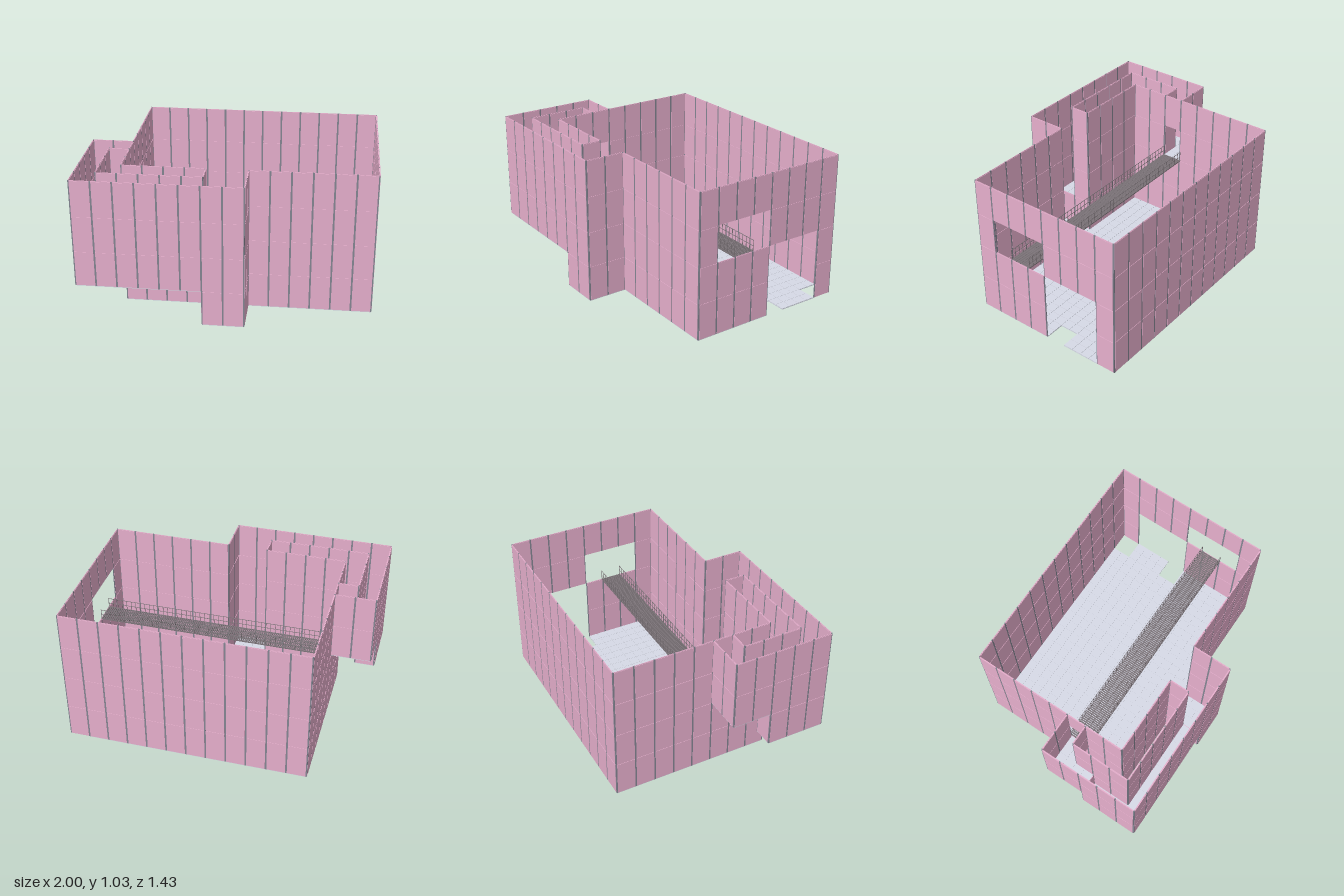
import * as THREE from 'three';
import { mergeGeometries } from 'three/addons/utils/BufferGeometryUtils.js';

// Modular grid: 14 x 10 cells in plan, four storeys high
const CX = 0.142, CZ = 0.1422, CY = 0.2555;
const gx = k => -0.996 + CX * k;
const gz = j => -0.711 + CZ * j;
const gy = l => 0.005 + CY * l;
const range = (a, b) => Array.from({ length: b - a + 1 }, (_, i) => a + i);

function box(w, h, d, x, y, z) {
  return new THREE.BoxGeometry(w, h, d).translate(x, y, z);
}

export function createModel() {
  const model = new THREE.Group();
  const mat = (name, color) => {
    const m = new THREE.MeshStandardMaterial({ color });
    m.name = name;
    return m;
  };
  const pink = mat('wall pink', 0xe9b1cf);
  const slate = mat('joint slate', 0x858794);
  const grey = mat('floor grey', 0xd8dbe8);
  const dark = mat('walkway grey', 0x7d757a);

  const add = (name, parts, material) => {
    const mesh = new THREE.Mesh(mergeGeometries(parts), material);
    mesh.name = name;
    model.add(mesh);
  };

  // Walls: pink panels on a thin pink core, with slate strips in the upright joints
  const GAP = 0.012;
  function wall(name, cells) {
    const panels = [], joints = [];
    for (const [axis, k, j, l] of cells) {
      const y = gy(l + 0.5);
      if (axis === 'z') {
        const x = gx(k + 0.5), z = gz(j);
        panels.push(box(CX - GAP, CY - 0.008, 0.009, x, y, z));
        panels.push(box(CX - GAP, CY, 0.004, x, y, z));
        for (const s of [-1, 1]) {
          joints.push(box(GAP / 2, CY, 0.006, x + s * (CX / 2 - GAP / 4), y, z));
        }
      } else {
        const x = gx(k), z = gz(j + 0.5);
        panels.push(box(0.009, CY - 0.008, CZ - GAP, x, y, z));
        panels.push(box(0.004, CY, CZ - GAP, x, y, z));
        for (const s of [-1, 1]) {
          joints.push(box(0.006, CY, GAP / 2, x, y, z + s * (CZ / 2 - GAP / 4)));
        }
      }
    }
    add(name + 'Panels', panels, pink);
    add(name + 'Joints', joints, slate);
  }
  // axis 'z': wall facing z on grid line j; axis 'x': wall facing x on grid line k
  const run = (axis, ks, js, ls, skip = () => false) =>
    ks.flatMap(k => js.flatMap(j => ls.filter(l => !skip(k, j, l)).map(l => [axis, k, j, l])));
  const all = range(0, 3), upper = range(1, 3), top = [2, 3];

  // Main hall
  wall('backWall', run('z', range(2, 13), [0], all));
  wall('frontWall', run('z', [...range(2, 5), ...range(8, 13)], [8], all));
  wall('leftWall', run('x', [14], range(0, 7), all, (k, j, l) =>
    (l === 2 && j >= 4 && j <= 6) || (l < 2 && j >= 1 && j <= 3)));
  wall('rightWall', run('x', [2], range(0, 7), all, (k, j, l) => l === 2 && j === 5));

  // Front alcove
  wall('alcoveWalls', [
    ...run('z', [6, 7], [10], all),
    ...run('x', [8], [8, 9], all),
    ...run('x', [6], [8], all),
    ...run('x', [6], [9], [0]),
  ]);

  // Raised corridor climbing around the side
  wall('corridorOuterWalls', [
    ...run('z', range(0, 5), [10], upper),
    ...run('x', [0], range(7, 9), upper),
    ...run('x', [0], [5, 6], top),
    ...run('z', [0, 1], [5], top),
    ...run('z', [0], [7], [1]),
  ]);
  wall('corridorInnerWalls', [
    ...run('z', range(1, 5), [9], upper),
    ...run('x', [1], [7, 8], upper),
    ...run('x', [1], [6], top),
    ...run('z', [1], [6], top),
  ]);

  // Floors: four tiles per cell on a base slab
  function floor(name, ks, js, level, skip = () => false) {
    const base = [], tiles = [];
    const y0 = CY * level;
    for (const k of ks) for (const j of js) {
      if (skip(k, j)) continue;
      base.push(box(CX, 0.005, CZ, gx(k + 0.5), y0 + 0.0025, gz(j + 0.5)));
      for (const a of [0.25, 0.75]) for (const b of [0.25, 0.75]) {
        tiles.push(box(CX / 2 - 0.002, 0.004, CZ / 2 - 0.002, gx(k + a), y0 + 0.006, gz(j + b)));
      }
    }
    add(name + 'Base', base, grey);
    add(name + 'Tiles', tiles, grey);
  }
  floor('hallFloor', range(2, 13), range(0, 7), 0, (k, j) => k === 13 && (j === 0 || j === 3));
  floor('alcoveFloor', [6, 7], [8, 9], 0);
  floor('corridorFrontFloor', range(0, 5), [9], 1);
  floor('corridorSideFloor', [0], [7, 8], 1);
  floor('corridorUpperFloor', [0], [5, 6], 2);
  floor('corridorLinkFloor', [1], [5], 2);

  // Walkway grating crossing the hall
  const x0 = gx(2), x1 = gx(14), len = x1 - x0, mid = (x0 + x1) / 2;
  const z0 = -0.008, z1 = 0.145, zm = (z0 + z1) / 2, deck = gy(2);
  const bars = [];
  for (let i = 0; i < 120; i++) {
    bars.push(box(0.009, 0.006, z1 - z0, x0 + (i + 0.5) * len / 120, deck, zm));
  }
  for (let i = 0; i <= 4; i++) {
    bars.push(box(len, 0.008, 0.004, mid, deck - 0.001, z0 + i * (z1 - z0) / 4));
  }
  add('walkwayGrating', bars, dark);

  // Railings on both sides of the walkway
  for (const [name, z] of [['backRailing', z0], ['frontRailing', z1]]) {
    const rails = [0.035, 0.075].map(h => box(len, 0.003, 0.003, mid, deck + h, z));
    for (let i = 0; i <= 48; i++) {
      rails.push(box(0.003, 0.075, 0.003, x0 + 0.004 + i * (len - 0.008) / 48, deck + 0.0375, z));
    }
    add(name, rails, dark);
  }
  return model;
}
